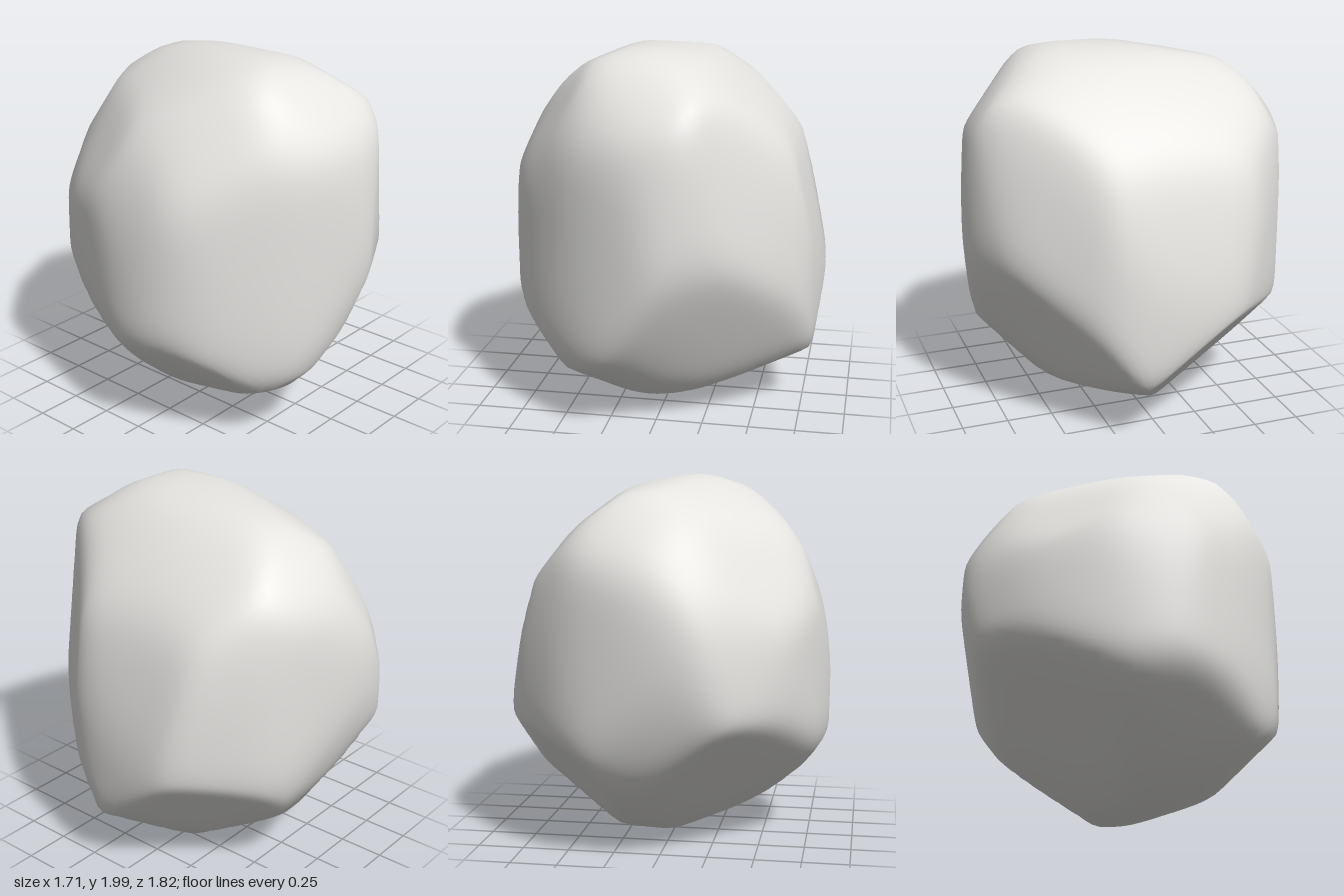
import * as THREE from 'three';
import { mergeVertices } from 'three/addons/utils/BufferGeometryUtils.js';

// Outlines that chisel the boulder, clockwise, measured from its centre
const frontCut = [[-0.53, 0.83], [-0.42, 0.9], [-0.13, 1], [0.06, 0.98], [0.32, 0.89], [0.53, 0.7], [0.67, 0.47],
  [0.85, -0.27], [0.79, -0.7], [0.59, -0.85], [0.33, -0.95], [0.05, -1], [-0.45, -0.84], [-0.69, -0.64],
  [-0.85, -0.4], [-0.86, -0.07], [-0.82, 0.23], [-0.7, 0.6]];
const sideCut = [[-0.72, 0.82], [-0.58, 0.92], [-0.35, 1], [-0.1, 1], [0.55, 0.89], [0.73, 0.75], [0.83, 0.57],
  [0.9, 0.35], [0.91, 0.08], [0.78, -0.4], [0.65, -0.64], [0.5, -0.75], [0.02, -1], [-0.52, -0.84],
  [-0.78, -0.62], [-0.86, -0.36], [-0.92, 0.07], [-0.9, 0.33], [-0.84, 0.65]];
const topCut = [[-0.58, 0.7], [-0.39, 0.84], [-0.24, 0.91], [-0.1, 0.91], [0.5, 0.71], [0.7, 0.54], [0.83, 0.36],
  [0.85, 0.14], [0.83, -0.06], [0.76, -0.32], [0.46, -0.71], [0.05, -0.91], [-0.45, -0.71], [-0.68, -0.53],
  [-0.86, -0.12], [-0.86, -0.03], [-0.69, 0.5]];
const frontRightCut = [[-0.51, 0.82], [-0.28, 0.89], [0.17, 0.95], [0.44, 0.95], [0.63, 0.81], [0.81, 0.58],
  [0.88, 0.23], [0.88, -0.4], [0.85, -0.55], [0.76, -0.75], [0.53, -0.89], [0.01, -0.94], [-0.34, -0.92],
  [-0.76, -0.66], [-0.85, -0.35], [-0.81, 0.37], [-0.76, 0.49]];
const backLeftCut = [[-0.79, 0.48], [-0.56, 0.69], [-0.05, 0.98], [0.37, 1.02], [0.64, 0.81], [0.81, 0.5],
  [0.85, -0.31], [0.81, -0.49], [0.42, -0.84], [-0.03, -0.88], [-0.54, -0.77], [-0.78, -0.58], [-0.88, -0.24],
  [-0.88, 0.2]];
const undersideCut = [[-0.66, 0.57], [-0.24, 0.88], [0.23, 1.02], [0.5, 0.9], [0.76, 0.55], [0.87, 0.22],
  [0.88, -0.12], [0.77, -0.45], [0.55, -0.76], [0.33, -0.87], [-0.05, -0.97], [-0.31, -0.94], [-0.55, -0.65],
  [-0.81, -0.15], [-0.71, 0.46]];

const V = (x, y, z) => new THREE.Vector3(x, y, z);
const facet = (x, y, z, h) => ({ n: V(x, y, z).normalize(), h });

// Turn every edge of an outline into a cutting plane { n, h }
function cutPlanes(outline, right, up) {
  return outline.map(([ax, ay], i) => {
    const [bx, by] = outline[(i + 1) % outline.length];
    const len = Math.hypot(bx - ax, by - ay);
    const nx = -(by - ay) / len, ny = (bx - ax) / len;
    return {
      n: V(0, 0, 0).addScaledVector(right, nx).addScaledVector(up, ny),
      h: nx * ax + ny * ay + 0.008,
    };
  });
}

export function createModel() {
  const q = Math.SQRT1_2, s = 0.5 * q, c = Math.sqrt(0.75);
  const planes = [
    ...cutPlanes(frontCut, V(1, 0, 0), V(0, 1, 0)),
    ...cutPlanes(sideCut, V(0, 0, -1), V(0, 1, 0)),
    ...cutPlanes(topCut, V(1, 0, 0), V(0, 0, -1)),
    ...cutPlanes(frontRightCut, V(q, 0, -q), V(-s, c, -s)),
    ...cutPlanes(backLeftCut, V(-q, 0, q), V(s, c, s)),
    ...cutPlanes(undersideCut, V(-q, 0, -q), V(s, c, -s)),
    facet(0.5, -0.45, 0.74, 0.805), // front undercut
    facet(-0.45, -0.72, -0.53, 0.77), // back undercut
    facet(0.6, -0.65, -0.47, 0.85), // lower back corner
    facet(-0.71, 0.52, -0.47, 0.84), // upper back corner
  ];

  // Push a sphere out to the planes, with broadly rounded shading
  let geometry = new THREE.IcosahedronGeometry(1, 24);
  geometry.deleteAttribute('uv');
  geometry.deleteAttribute('normal');
  geometry = mergeVertices(geometry, 1e-4);
  geometry.computeVertexNormals();
  const { position, normal } = geometry.attributes;
  const edge = 110, shade = 26;
  const d = V(0, 0, 0), bend = V(0, 0, 0);
  const hollow = V(-0.7, 0.12, 0.7).normalize();
  for (let i = 0; i < position.count; i++) {
    d.fromBufferAttribute(position, i).normalize();
    bend.set(0, 0, 0);
    let sum = 0;
    for (const { n, h } of planes) {
      const reach = Math.max(0, n.dot(d) / h);
      sum += reach ** edge;
      bend.addScaledVector(n, reach ** shade / h);
    }
    // shallow hollow on one side of the front
    const dent = 0.05 * Math.exp(-((d.angleTo(hollow) / 0.28) ** 2));
    d.multiplyScalar(sum ** (-1 / edge) * (1 - dent));
    bend.normalize();
    position.setXYZ(i, d.x, d.y + 1, d.z);
    normal.setXYZ(i, bend.x, bend.y, bend.z);
  }

  const stone = new THREE.MeshStandardMaterial({ color: 0xe6e5e2 });
  stone.name = 'stone grey';
  const boulder = new THREE.Mesh(geometry, stone);
  boulder.name = 'boulder';

  const group = new THREE.Group();
  group.name = 'rock';
  group.add(boulder);
  return group;
}
